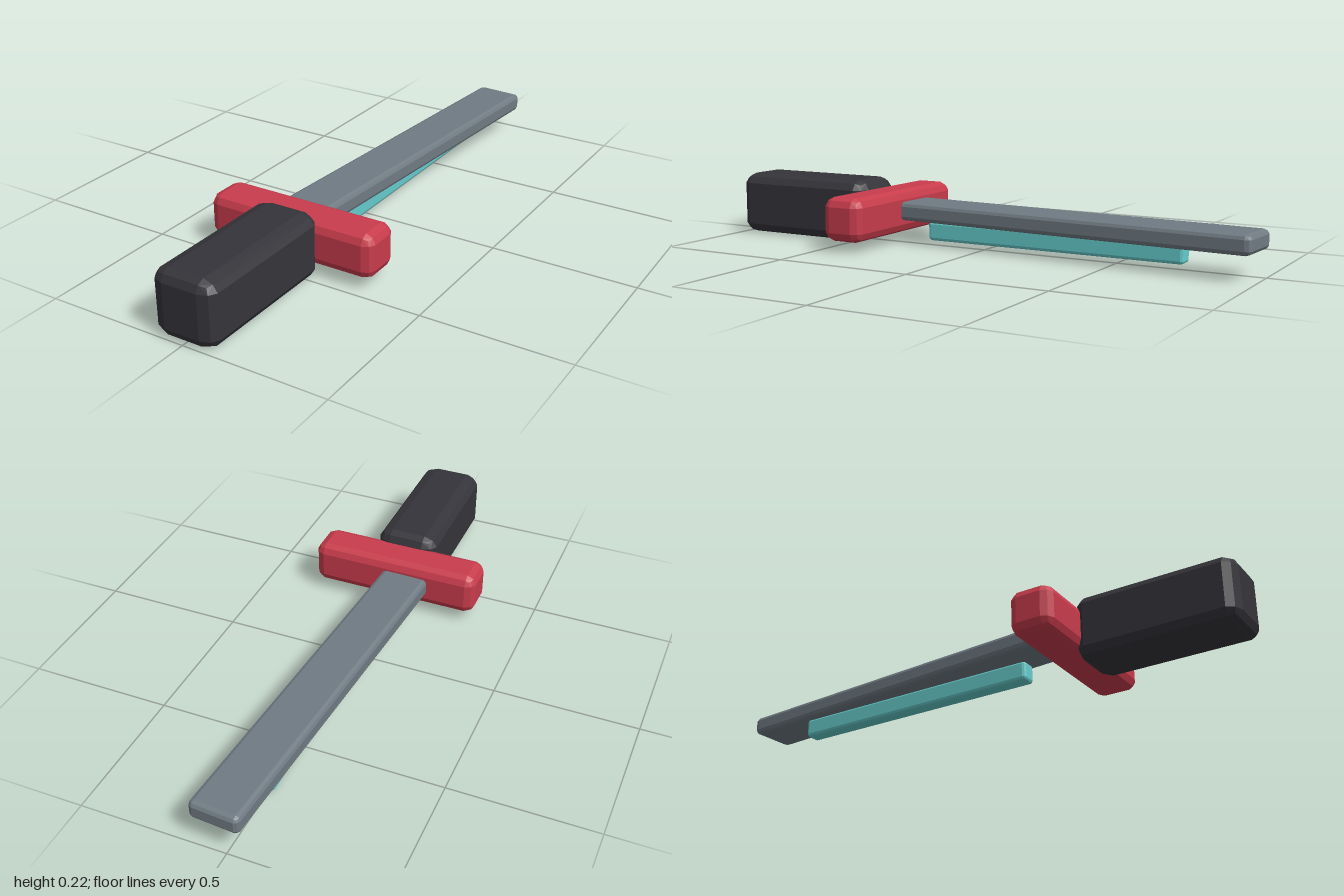
import * as THREE from 'three';
import { ConvexGeometry } from 'three/addons/geometries/ConvexGeometry.js';

const paint = (name, color) => {
  const m = new THREE.MeshStandardMaterial({ color });
  m.name = name;
  return m;
};

// Box with a two-step faceted bevel; bevel gives the inset along each axis
function bevelBox(size, bevel) {
  const flat = 1, mid = 0.32, corner = 0.5;
  const steps = [
    [0, flat, flat], [flat, 0, flat], [flat, flat, 0],
    [mid, mid, flat], [mid, flat, mid], [flat, mid, mid],
    [corner, corner, corner],
  ];
  const points = [];
  for (const sx of [-1, 1]) for (const sy of [-1, 1]) for (const sz of [-1, 1]) {
    for (const s of steps) {
      points.push(new THREE.Vector3(
        sx * (size[0] / 2 - bevel[0] * s[0]),
        sy * (size[1] / 2 - bevel[1] * s[1]),
        sz * (size[2] / 2 - bevel[2] * s[2]),
      ));
    }
  }
  return new ConvexGeometry(points);
}

export function createModel() {
  const group = new THREE.Group();
  group.name = 'sword';

  const gripBlack = paint('gripBlack', 0x35343a);
  const guardRed = paint('guardRed', 0xc83c4c);
  const steelGrey = paint('steelGrey', 0x707b83);
  const glowTeal = paint('glowTeal', 0x66cccc);

  const add = (name, material, size, bevel, position) => {
    const mesh = new THREE.Mesh(bevelBox(size, bevel), material);
    mesh.name = name;
    mesh.position.set(...position);
    group.add(mesh);
    return mesh;
  };

  // Chunky handle at the front
  add('handle', gripBlack, [0.224, 0.224, 0.555], [0.049, 0.035, 0.037], [0, 0.112, 0.7225]);
  // Crossguard
  add('crossguard', guardRed, [0.62, 0.154, 0.152], [0.034, 0.032, 0.032], [0, 0.113, 0.396]);
  // Blade, turned slightly off the handle axis
  const blade = add('blade', steelGrey, [0.174, 0.066, 1.335], [0.016, 0.015, 0.02], [-0.002, 0.117, -0.326]);
  blade.rotation.y = -0.069;
  // Thin strip under the blade
  add('undersideStrip', glowTeal, [0.06, 0.07, 0.955], [0.011, 0.011, 0.011], [0, 0.055, -0.263]);

  return group;
}
